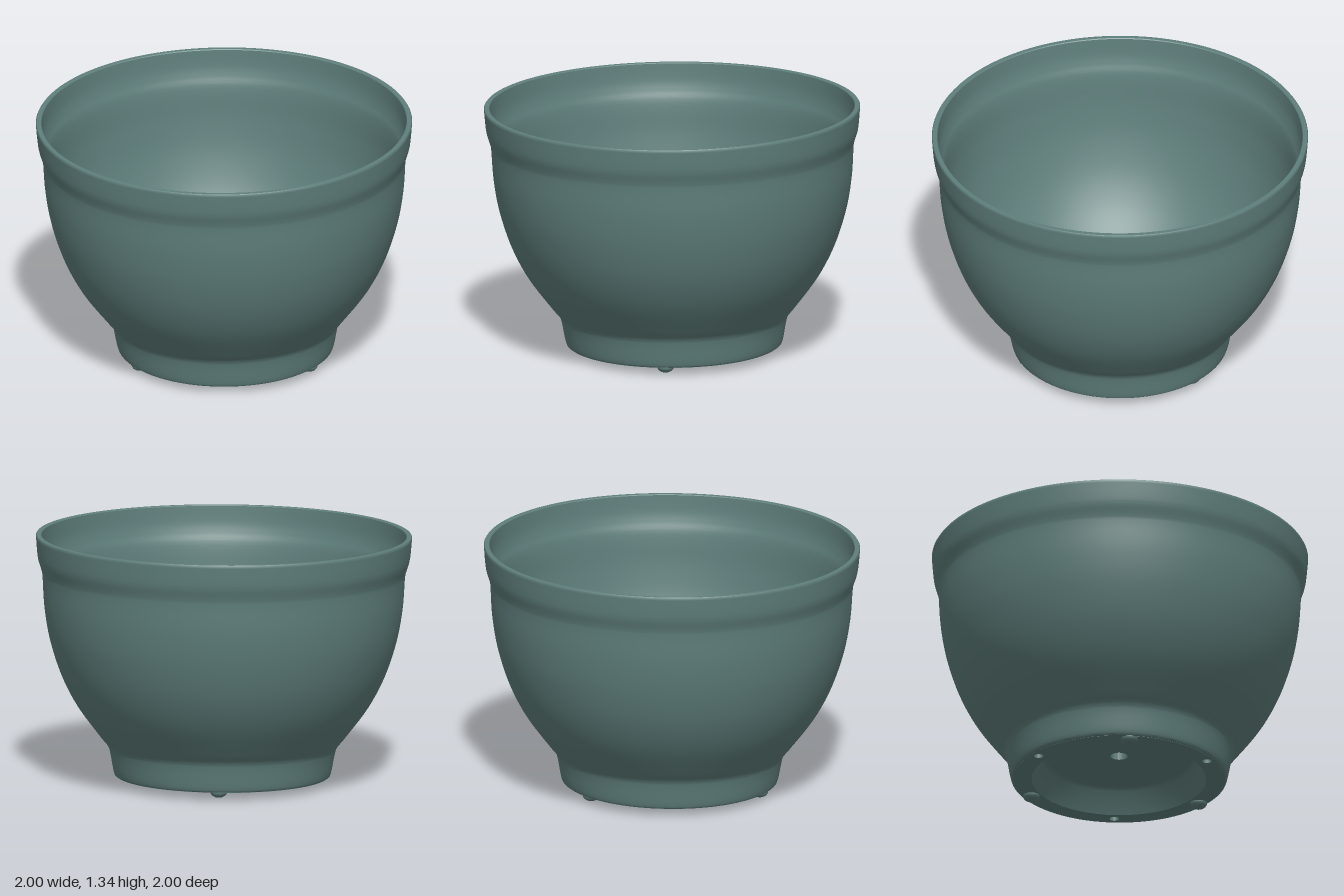
import * as THREE from 'three';
import { toCreasedNormals } from 'three/addons/utils/BufferGeometryUtils.js';

const SEG = 128;
const BASE = 0.037, FLOOR = 0.075;

const vec = (pts) => pts.map(([r, y]) => new THREE.Vector2(r, y));
const smooth = (pts, n) => new THREE.SplineCurve(vec(pts)).getPoints(n);
const lathe = (pts) => toCreasedNormals(new THREE.LatheGeometry(pts, SEG), 0.7);

export function createModel() {
  const glaze = new THREE.MeshStandardMaterial({ color: 0x5f7f7c });
  glaze.name = 'greyGreen';

  const model = new THREE.Group();
  model.name = 'planter';
  // The pot leans very slightly to one side
  const pot = new THREE.Group();
  pot.name = 'pot';
  pot.rotation.z = 0.01;
  pot.position.x = 0.013;
  model.add(pot);

  const add = (name, geometry) => {
    const mesh = new THREE.Mesh(geometry, glaze);
    mesh.name = name;
    pot.add(mesh);
    return mesh;
  };

  // Outer wall: foot, belly and rim band, then back down the inside
  const outer = smooth([
    [0.572, 0.046], [0.58, 0.075], [0.597, 0.165], [0.612, 0.205], [0.655, 0.258],
    [0.775, 0.42], [0.86, 0.585], [0.92, 0.77], [0.95, 0.94], [0.961, 1.1],
    [0.967, 1.14], [0.984, 1.195], [0.991, 1.24], [0.998, 1.325],
  ], 70);
  const inner = smooth([
    [0.968, 1.327], [0.962, 1.24], [0.95, 1.185], [0.935, 1.14], [0.926, 1.08],
    [0.914, 0.94], [0.884, 0.77], [0.822, 0.58], [0.738, 0.42], [0.63, 0.275],
    [0.583, 0.215], [0.565, 0.16], [0.555, FLOOR],
  ], 70);
  add('wall', lathe([
    ...vec([[0.55, BASE], [0.562, 0.039]]), ...outer,
    ...vec([[0.994, 1.331], [0.972, 1.331]]), ...inner,
  ]));

  // Raised centre of the floor with the main drain hole
  add('raisedFloor', lathe(vec([
    [0.045, 0.17], [0.38, 0.17], [0.398, 0.165], [0.41, 0.15], [0.462, BASE],
    [0.49, FLOOR], [0.477, 0.083], [0.465, 0.1], [0.425, 0.19], [0.415, 0.203], [0.395, 0.21],
    [0.045, 0.21], [0.045, 0.17],
  ])));

  // Flat ring between wall and raised centre, with three small drain holes
  const ring = new THREE.Shape().absarc(0, 0, 0.557, 0, Math.PI * 2);
  const cut = (x, z, r) => ring.holes.push(new THREE.Path().absarc(x, -z, r, 0, Math.PI * 2, true));
  cut(0, 0, 0.462);
  for (const [x, z] of [[-0.092, -0.507], [0.475, 0.185], [-0.402, 0.332]]) cut(x, z, 0.025);
  const ringGeo = new THREE.ExtrudeGeometry(ring, {
    depth: FLOOR - BASE, bevelEnabled: false, curveSegments: SEG,
  });
  ringGeo.rotateX(-Math.PI / 2);
  ringGeo.translate(0, BASE, 0);
  add('footRing', toCreasedNormals(ringGeo, 0.7));

  // Three small rounded feet under the ring
  for (const [x, z] of [[-0.493, -0.16], [0.107, 0.51], [0.39, -0.335]]) {
    const foot = add('foot', new THREE.SphereGeometry(0.045, 20, 14));
    foot.scale.y = 0.72;
    foot.position.set(x, BASE, z);
  }

  return model;
}
